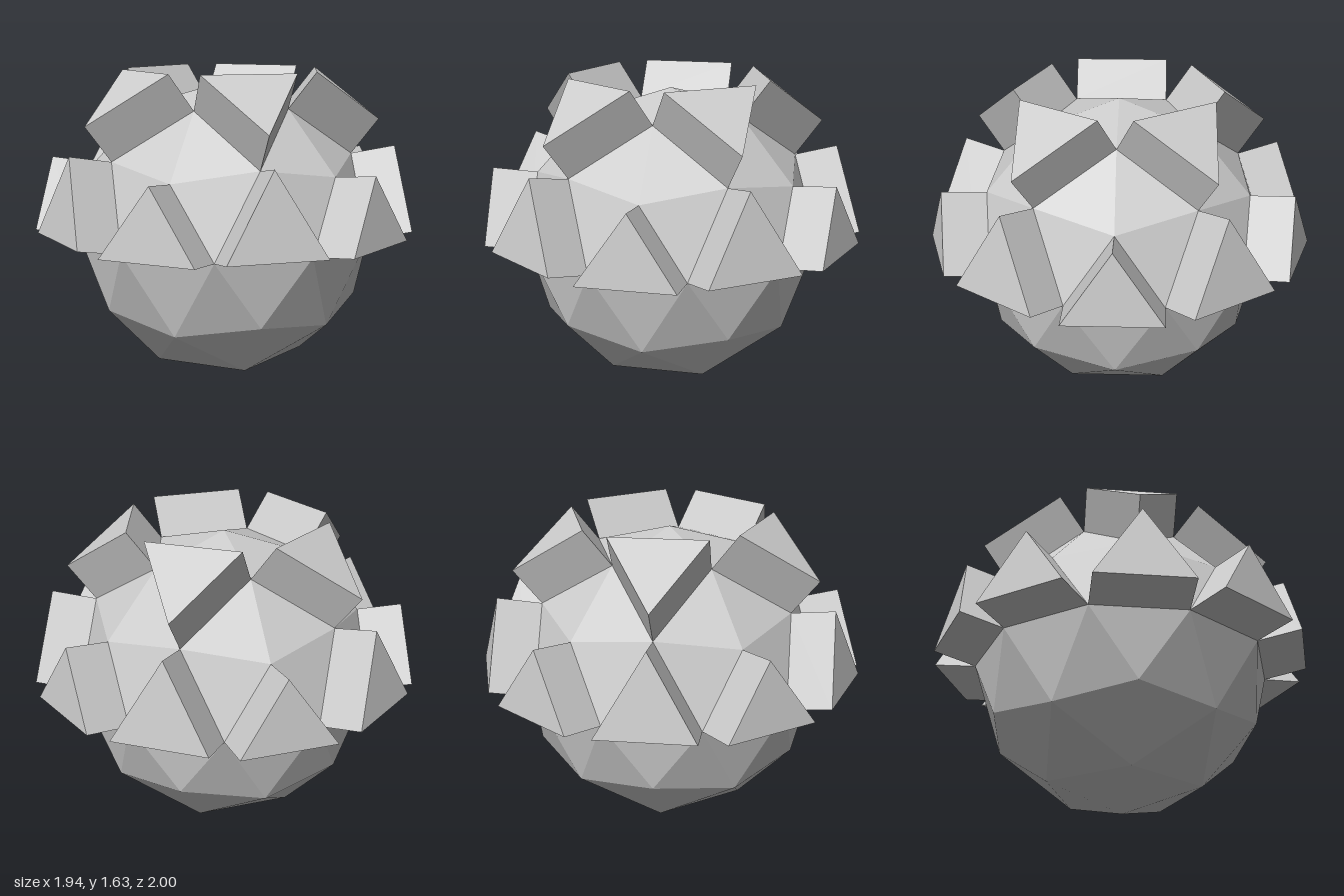
import * as THREE from 'three';

const R = 0.783;       // ball radius
const HEIGHT = 0.23;   // how far each block stands out from the ball

// Point on the ball: polar angle from the top and angle around y, in degrees
function point(polar, around) {
  return new THREE.Vector3(0, R, 0)
    .applyAxisAngle(new THREE.Vector3(0, 0, -1), THREE.MathUtils.degToRad(polar))
    .applyAxisAngle(new THREE.Vector3(0, 1, 0), THREE.MathUtils.degToRad(-around));
}

// Order a triangle's corners so that it faces away from the ball's centre
function outward([a, b, c]) {
  const n = b.clone().sub(a).cross(c.clone().sub(a));
  return n.dot(a) > 0 ? [a, b, c] : [a, c, b];
}

function facetMesh(triangles, name) {
  const geometry = new THREE.BufferGeometry().setFromPoints(triangles.flat());
  geometry.computeVertexNormals();
  const material = new THREE.MeshStandardMaterial({ color: 0xcccccc, flatShading: true });
  const mesh = new THREE.Mesh(geometry, material);
  mesh.name = name;
  return mesh;
}

// Triangular prism raised along the normal of one facet
function prism(facet, name) {
  const base = outward(facet);
  const normal = new THREE.Triangle(...base).getNormal(new THREE.Vector3());
  const cap = base.map(p => p.clone().addScaledVector(normal, HEIGHT));
  const triangles = [cap];
  for (let i = 0; i < 3; i++) {
    const j = (i + 1) % 3;
    triangles.push([base[i], base[j], cap[j]], [base[i], cap[j], cap[i]]);
  }
  return facetMesh(triangles, name);
}

export function createModel() {
  const group = new THREE.Group();
  group.name = 'studdedBall';

  // Rings of the upper half of a once-subdivided icosahedron
  const top = point(0, 0);
  const crown = i => point(31.717, 72 * i);
  const shoulder = j => point(j % 2 ? 58.283 : 63.435, 36 * j);
  const equator = j => point(90, 36 * j + 18);

  const plain = [], upperRaised = [], beltRaised = [];
  for (let i = 0; i < 5; i++) {
    plain.push([top, crown(i), crown(i + 1)]);
    plain.push([crown(i), shoulder(2 * i), shoulder(2 * i + 1)]);
    plain.push([crown(i), shoulder(2 * i - 1), shoulder(2 * i)]);
    upperRaised.push([crown(i), crown(i + 1), shoulder(2 * i + 1)]);
  }
  for (let j = 0; j < 10; j++) {
    plain.push([shoulder(j), shoulder(j + 1), equator(j)]);
    beltRaised.push([shoulder(j), equator(j - 1), equator(j)]);
  }

  // Ball: upper half plus its reflection through the centre
  const upper = [...plain, ...upperRaised, ...beltRaised];
  const lower = upper.map(t => t.map(p => p.clone().negate()));
  group.add(facetMesh([...upper, ...lower].map(outward), 'ball'));

  // Raised blocks: five around the crown, ten above the equator
  upperRaised.forEach((f, i) => group.add(prism(f, `crownBlock${i + 1}`)));
  beltRaised.forEach((f, i) => group.add(prism(f, `beltBlock${i + 1}`)));

  group.children.forEach(mesh => { mesh.position.y = R; });
  return group;
}
